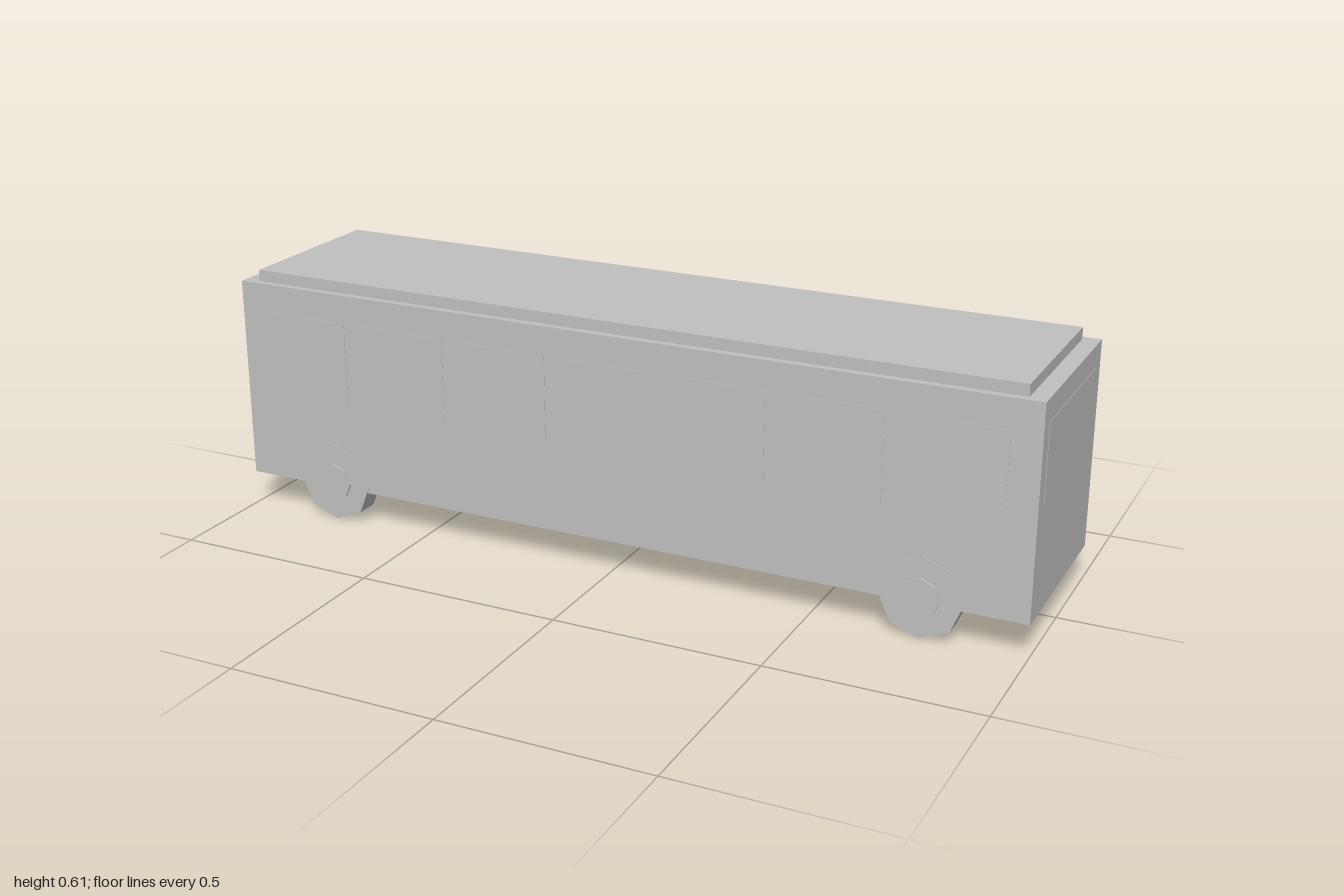
import * as THREE from 'three';

export function createModel() {
  const bus = new THREE.Group();
  bus.name = 'bus';
  const grey = new THREE.MeshStandardMaterial({ color: 0xc0c0c0 });
  grey.name = 'plain grey';
  grey.flatShading = true;

  // Box given by its minimum and maximum on each axis
  function box(name, [x0, x1], [y0, y1], [z0, z1]) {
    const mesh = new THREE.Mesh(new THREE.BoxGeometry(x1 - x0, y1 - y0, z1 - z0), grey);
    mesh.position.set((x0 + x1) / 2, (y0 + y1) / 2, (z0 + z1) / 2);
    mesh.name = name;
    bus.add(mesh);
  }

  // Eight-sided cylinder lying along z
  function disc(name, radius, x, z0, z1) {
    const mesh = new THREE.Mesh(new THREE.CylinderGeometry(radius, radius, z1 - z0, 8), grey);
    mesh.rotation.x = Math.PI / 2;
    mesh.position.set(x, 0.1, (z0 + z1) / 2);
    mesh.name = name;
    bus.add(mesh);
  }

  // Body in two tiers, with the raised roof panel
  box('lowerBody', [-1, 1], [0.085, 0.255], [-0.23, 0.23]);
  box('upperBody', [-1, 1], [0.255, 0.585], [-0.23, 0.23]);
  box('roofPanel', [-0.96, 0.96], [0.585, 0.613], [-0.212, 0.212]);

  // Seven windows along each side
  for (const side of [-1, 1]) {
    for (let i = 0; i < 7; i++) {
      const x = (i - 3) * 0.273;
      const z = side * 0.23;
      box('sideWindow', [x - 0.112, x + 0.112], [0.305, 0.515], [z - 0.001, z + 0.001]);
    }
  }

  // Windscreen and headlights at -x, rear window at +x
  box('windscreen', [-1.001, -0.999], [0.275, 0.535], [-0.205, 0.205]);
  box('rearWindow', [0.999, 1.001], [0.345, 0.53], [-0.19, 0.19]);
  for (const side of [-1, 1]) {
    const z = side * 0.19;
    box('headlight', [-1.001, -0.999], [0.15, 0.19], [z - 0.023, z + 0.023]);
  }

  // Octagonal wheels with hubs showing on both faces
  for (const x of [-0.757, 0.757]) {
    for (const side of [-1, 1]) {
      const z = side * 0.203;
      disc('wheel', 0.098, x, z - 0.029, z + 0.029);
      disc('hub', 0.046, x, z - 0.034, z + 0.034);
    }
  }
  return bus;
}
